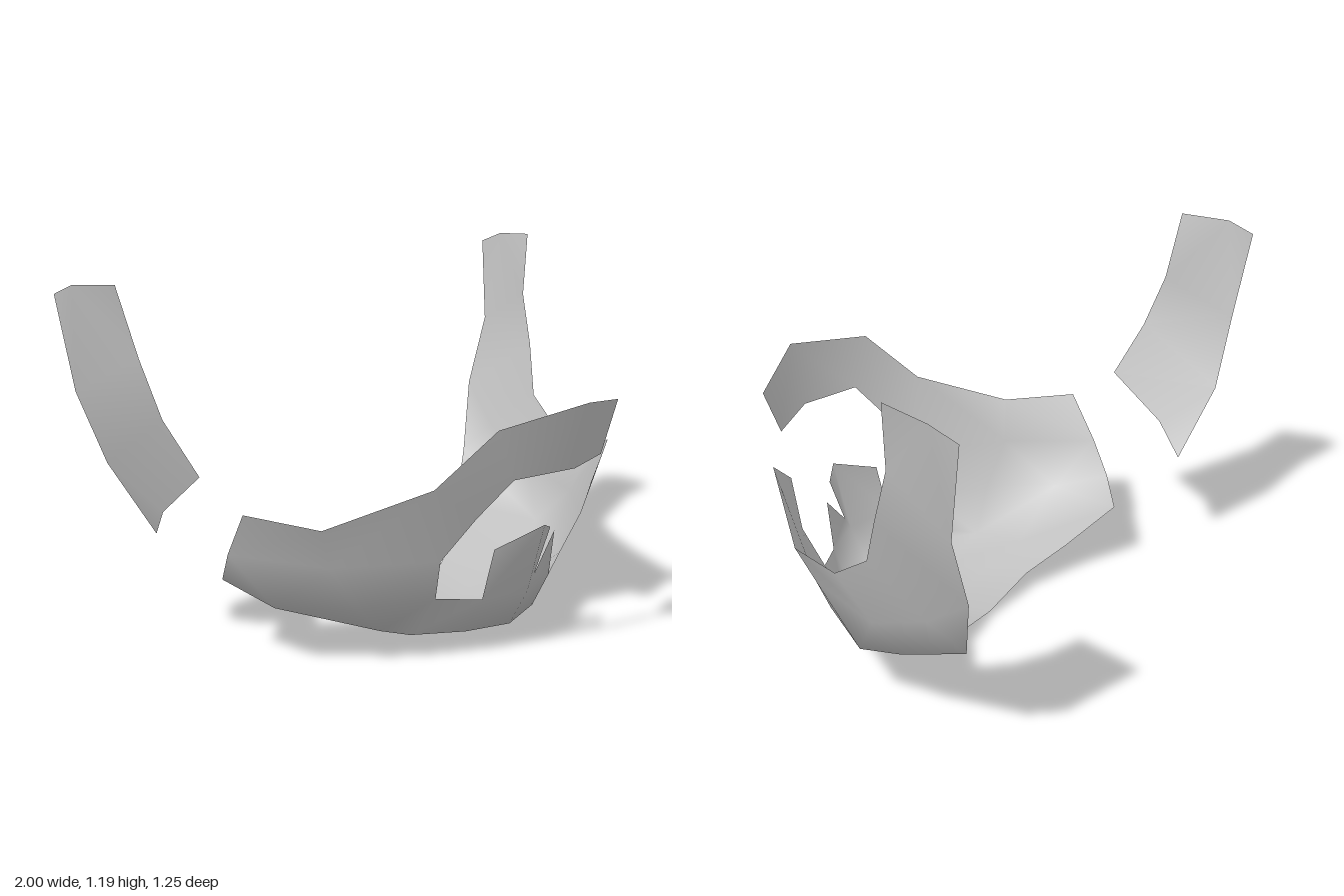
import * as THREE from 'three';

// Control points of one half (+x); mirrored for the other half
const P = {
  // top edge, from the nose to the strap end
  t0: [0, 0.83, 0.625], t1: [0.30, 0.78, 0.52], t2: [0.435, 0.605, 0.39],
  t3: [0.66, 0.485, 0.15], t4: [0.768, 0.515, -0.07], t5: [0.81, 0.615, -0.21],
  t6: [0.88, 0.79, -0.285], t7: [0.91, 0.97, -0.345], t8: [0.965, 1.19, -0.37],
  // strap end and rear edge, down to the throat
  e1: [1, 1.18, -0.53], b9: [1, 1.145, -0.62], b8: [0.97, 0.85, -0.58],
  b7: [0.87, 0.61, -0.575], b6: [0.75, 0.37, -0.50], f: [0.54, 0.228, -0.357],
  b5: [0.38, 0.12, -0.25], b4: [0.22, 0.065, -0.18], b3: [0, 0.02, -0.16],
  // mouth opening
  w0: [0, 0.62, 0.575], w1: [0.22, 0.615, 0.515], h1: [0.29, 0.495, 0.43],
  h2: [0.355, 0.36, 0.345], h3: [0.315, 0.22, 0.29], h4: [0.17, 0.195, 0.355],
  // jagged centre
  n0: [0, 0.42, 0.465], n1: [0.155, 0.36, 0.39], v1: [0.075, 0.39, 0.43],
  v2: [0.035, 0.24, 0.40], v3: [0.15, 0.355, 0.39], k: [0, 0.19, 0.40],
  // cheek and jaw
  a: [0.60, 0.35, 0.12], b: [0.74, 0.365, -0.175], c: [0.50, 0.20, 0.14],
  d: [0.65, 0.195, -0.07], e: [0.70, 0.26, -0.25], g: [0.80, 0.47, -0.40],
  // chin rows
  r0: [0, 0.065, 0.33], r1: [0.17, 0.075, 0.29], r2: [0.33, 0.085, 0.20],
  s0: [0, 0.015, 0.13], s1: [0.17, 0.045, 0.11], s2: [0.36, 0.082, 0.10],
  q0: [0, 0, 0], q1: [0.20, 0.045, -0.02], q2: [0.37, 0.09, -0.07],
};

// Panels shared by both halves
const shared = [
  't0 t1 w1 w0', 'h1 t2 h2', 't2 t3 a h2', 'h2 a c h3', 't3 t4 b a',
  'a b d c', 'b e d', 'c d s2', 'h3 c s2 r2', 's2 d q2', 'd e f', 'q2 d f b5',
  'k h4 r1 r0', 'h4 h3 r2 r1', 'r0 r1 s1 s0', 'r1 r2 s2 s1',
  's0 s1 q1 q0', 's1 s2 q2 q1', 'q0 q1 b4 b3', 'q1 q2 b5 b4',
];
const strapRoot = ['t4 t5 g b', 'b g b6 e', 'e b6 f'];
const strap = ['t5 t6 b7 g', 'g b7 b6', 't6 t7 b8 b7', 't7 t8 e1 b8', 'e1 b9 b8'];
// Broken details that differ from side to side
const leftOnly = ['n0 v1 v2 k', 'v2 v3 h4', 'k v2 h4'];
const rightOnly = ['w1 t1 t2 h1', 'n0 n1 h4 k'];

// Smooth shell from left (+x) and right (-x) panels with shared vertices
function shell(name, left, right, material) {
  const positions = [], indices = [], seen = new Map();
  const vertex = (id, side) => {
    const [x, y, z] = P[id];
    const key = x === 0 ? id : id + side;
    if (!seen.has(key)) {
      seen.set(key, positions.length / 3);
      positions.push(x * side, y, z);
    }
    return seen.get(key);
  };
  const add = (panels, side) => {
    for (const panel of panels) {
      const v = panel.split(' ').map((id) => vertex(id, side));
      for (let i = 1; i < v.length - 1; i++) {
        if (side > 0) indices.push(v[0], v[i + 1], v[i]);
        else indices.push(v[0], v[i], v[i + 1]);
      }
    }
  };
  add(left, 1);
  add(right, -1);
  const geometry = new THREE.BufferGeometry();
  geometry.setAttribute('position', new THREE.Float32BufferAttribute(positions, 3));
  geometry.setIndex(indices);
  geometry.computeVertexNormals();
  const mesh = new THREE.Mesh(geometry, material);
  mesh.name = name;
  return mesh;
}

export function createModel() {
  const group = new THREE.Group();
  group.name = 'brokenHalfMask';
  const grey = new THREE.MeshStandardMaterial({ color: 0xc0c0c0, side: THREE.DoubleSide });
  grey.name = 'plain grey';

  // Jaw guard with the whole left strap
  group.add(shell('jawGuard', [...shared, ...leftOnly, ...strapRoot, ...strap],
    [...shared, ...rightOnly], grey));
  // Detached right strap
  group.add(shell('rightStrapFragment', [], strap, grey));
  return group;
}
